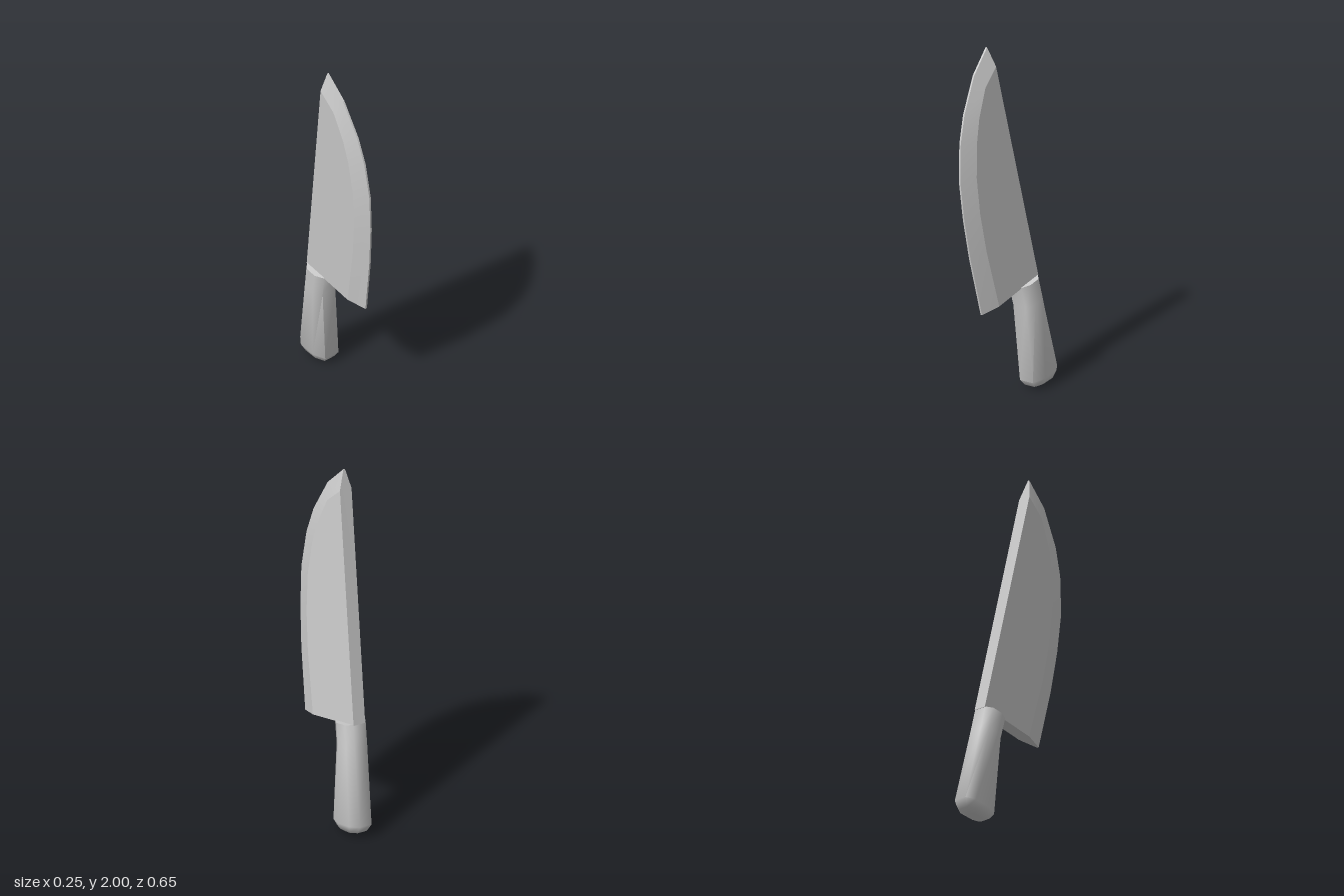
import * as THREE from 'three';
import { toCreasedNormals } from 'three/addons/utils/BufferGeometryUtils.js';

// Place a point of the leaning knife: u is the offset from its middle plane
const place = (u, y, z) => new THREE.Vector3(
  0.008 - 0.077 * (y - 0.62) + 0.015 * (z + 0.22) + u, y + 0.077 * u, z);

// Mesh from convex polygons, each fanned from its first corner
function polyMesh(name, polys, crease) {
  const points = [];
  for (const p of polys) {
    for (let i = 1; i < p.length - 1; i++) points.push(p[0], p[i], p[i + 1]);
  }
  const geometry = toCreasedNormals(new THREE.BufferGeometry().setFromPoints(points), crease);
  const mesh = new THREE.Mesh(geometry, new THREE.MeshStandardMaterial({ color: 0xcccccc }));
  mesh.name = name;
  return mesh;
}

function createBlade() {
  const thick = 0.039, thin = 0.005;
  // [z, y] of the cutting edge and of the line where the bevel starts, tip to heel
  const edge = [[0.04, 2], [0.16, 1.88], [0.26, 1.69], [0.305, 1.54],
    [0.328, 1.33], [0.315, 1.11], [0.285, 0.88], [0.22, 0.54]];
  const bevel = [[0.016, 1.89], [0.115, 1.8], [0.18, 1.65], [0.212, 1.52],
    [0.232, 1.33], [0.222, 1.12], [0.19, 0.9], [0.115, 0.56]];
  const side = (s) => ({
    edge: edge.map(([z, y]) => place(s * thin, y, z)),
    bevel: bevel.map(([z, y]) => place(s * thick, y, z)),
    spine: place(s * thick, 0.622, -0.22),
  });
  const L = side(1), R = side(-1), last = edge.length - 1;

  // Flat cheeks
  const polys = [[L.spine, ...L.bevel], [R.spine, ...R.bevel.slice().reverse()]];
  // Bevels and the narrow cutting edge
  for (let i = 0; i < last; i++) {
    polys.push([L.bevel[i], L.edge[i], L.edge[i + 1], L.bevel[i + 1]]);
    polys.push([R.edge[i], R.bevel[i], R.bevel[i + 1], R.edge[i + 1]]);
    polys.push([L.edge[i], R.edge[i], R.edge[i + 1], L.edge[i + 1]]);
  }
  // Spine, tip and heel
  polys.push([L.bevel[0], L.spine, R.spine, R.bevel[0]]);
  polys.push([L.edge[0], L.bevel[0], R.bevel[0], R.edge[0]]);
  polys.push([L.edge[last], R.edge[last], R.bevel[last], R.spine, L.spine, L.bevel[last]]);
  return polyMesh('blade', polys, 0.3);
}

function createHandle() {
  // Eight-sided section: sideways share, and depth from front (0) to back (1)
  const section = [[0.54, 1], [1, 0.78], [1, 0.32], [0.6, 0],
    [-0.6, 0], [-1, 0.32], [-1, 0.78], [-0.54, 1]];
  // Rings from top to butt: front y, front z, back y, back z, half width
  const rings = [
    [0.6, -0.07, 0.625, -0.217, 0.07],
    [0.48, -0.096, 0.5, -0.24, 0.071],
    [0.045, -0.113, 0.075, -0.325, 0.074],
    [0.014, -0.135, 0.03, -0.3, 0.056],
    [0, -0.175, 0.01, -0.255, 0.03],
  ].map(([yf, zf, yb, zb, w]) => section.map(([u, t]) =>
    place(u * w, THREE.MathUtils.lerp(yf, yb, t), THREE.MathUtils.lerp(zf, zb, t))));

  // Top and butt caps, then the sides
  const polys = [rings[0].slice().reverse(), rings[rings.length - 1]];
  for (let i = 0; i < rings.length - 1; i++) {
    for (let j = 0; j < section.length; j++) {
      const k = (j + 1) % section.length;
      polys.push([rings[i][j], rings[i][k], rings[i + 1][k], rings[i + 1][j]]);
    }
  }
  return polyMesh('handle', polys, 1.1);
}

export function createModel() {
  const knife = new THREE.Group();
  knife.name = 'knife';
  knife.add(createBlade(), createHandle());
  return knife;
}
